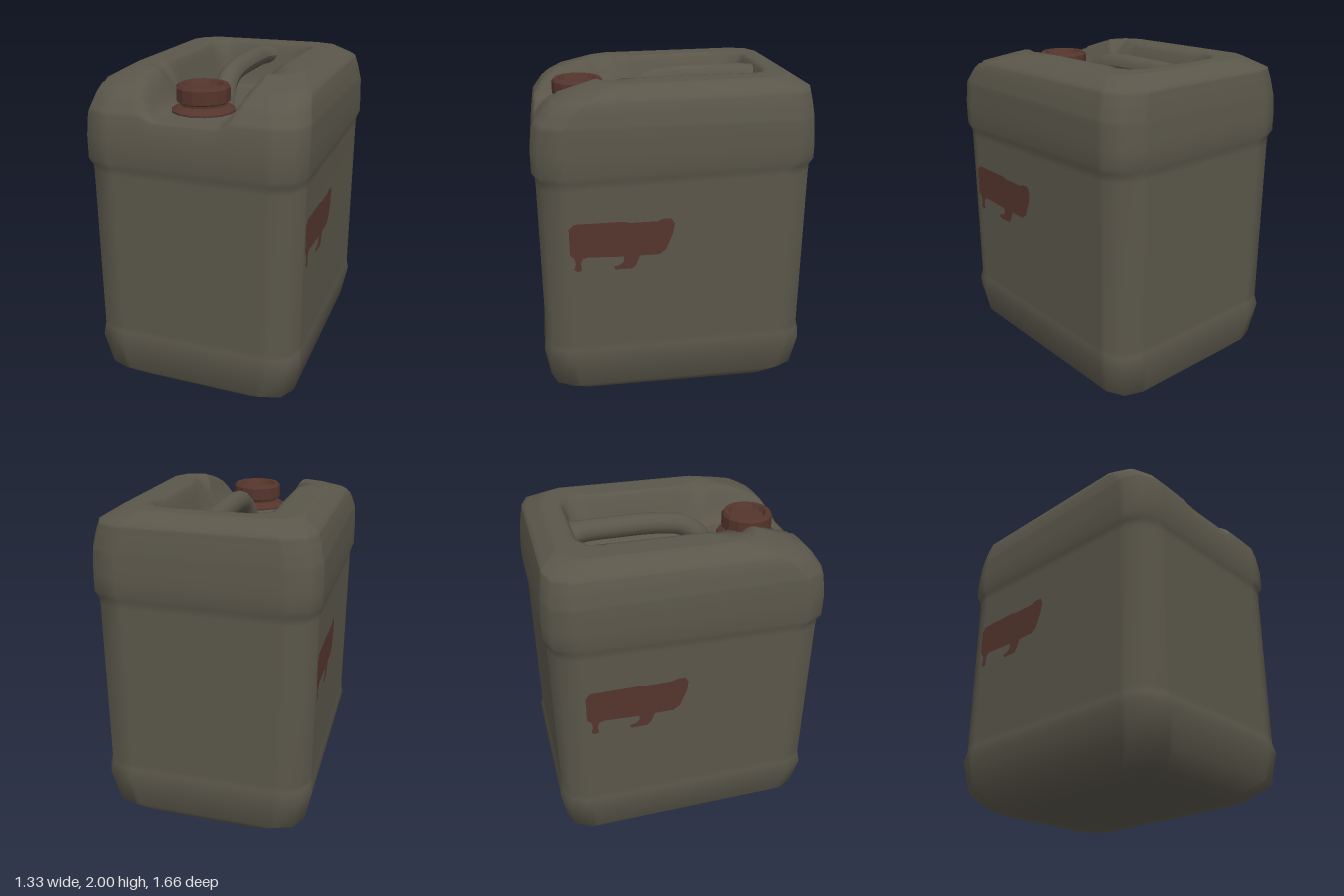
import * as THREE from 'three';

const lerp = THREE.MathUtils.lerp;
const smooth = THREE.MathUtils.smoothstep;

// Rounded-rectangle outline, running from +x towards +z, with subdivided sides
function outline(hx, hzBack, hzFront) {
  const c = Math.min(1, hx / 0.5);
  const corner = [[0, 0.14], [0.05, 0.04], [0.16, 0]];
  const keys = [];
  [[1, 1], [-1, 1], [-1, -1], [1, -1]].forEach(([sx, sz], k) => {
    const hz = sz > 0 ? hzFront : hzBack;
    const pts = corner.map(([a, b]) => [sx * (hx - a * c), sz * (hz - b * c)]);
    keys.push(...(k % 2 ? pts.reverse() : pts));
  });
  const out = [];
  keys.forEach((p, i) => {
    const q = keys[(i + 1) % keys.length];
    const n = i % 3 < 2 ? 1 : (i % 6 === 2 ? 28 : 32);
    for (let j = 0; j < n; j++) out.push([lerp(p[0], q[0], j / n), lerp(p[1], q[1], j / n)]);
  });
  return out;
}

// Height of the grip recess: deep below the handle, open towards the front
function recessHeight(x, z) {
  const floor = lerp(1.7, 1.775, smooth(z, 0.15, 0.42));
  const tx = Math.max(0, (Math.abs(x) - 0.19) / 0.24);
  const tz = Math.max(0, (-0.46 - z) / 0.18);
  const t = Math.min(1, Math.hypot(tx, tz));
  return floor + (2.15 - floor) * smooth(t, 0, 1) - 0.12 * Math.max(0, z - 0.6);
}

function softMin(a, b, k) {
  const h = Math.max(0, k - Math.abs(a - b)) / k;
  return Math.min(a, b) - h * h * k * 0.25;
}

function bodyGeometry() {
  // Profile rows: height, half width, back depth, front depth
  const rows = [
    [0.01, 0.002, 0.002, 0.002], [0.01, 0.4, 0.58, 0.58], [0.02, 0.51, 0.69, 0.69],
    [0.12, 0.615, 0.795, 0.795], [0.33, 0.655, 0.825, 0.825], [0.39, 0.645, 0.81, 0.81],
    [0.43, 0.645, 0.81, 0.81], [1.44, 0.645, 0.81, 0.81], [1.485, 0.648, 0.812, 0.812],
    [1.525, 0.665, 0.83, 0.83], [1.64, 0.664, 0.83, 0.83], [1.77, 0.66, 0.82, 0.81],
  ];
  const shoulder = [
    [1.77, 0.66, 0.82, 0.81], [1.86, 0.64, 0.808, 0.745],
    [1.935, 0.617, 0.795, 0.655], [2.0, 0.51, 0.69, 0.45],
  ];
  for (let i = 0; i < 3; i++) {
    for (let j = 1; j <= 4; j++) rows.push(shoulder[i].map((v, k) => lerp(v, shoulder[i + 1][k], j / 4)));
  }
  const N = 28;
  for (let i = 1; i <= N; i++) {
    const s = Math.max(0.002, 1 - i / N);
    rows.push([2.0, 0.51 * s, 0.12 + 0.57 * s, -0.12 + 0.57 * s]);
  }
  const pos = [], idx = [];
  let n = 0;
  rows.forEach(([y0, hx, back, front]) => {
    const ring = outline(hx, back, front);
    n = ring.length;
    for (const [x, z] of ring) {
      let y = y0;
      if (y0 < 0.1) y += 0.012 * z;
      else if (y0 > 1.4 && y0 < 1.6) y -= 0.025 * z;
      else if (y0 > 1.9) y -= 0.01 * (z + 0.69);
      if (y0 > 1.7) y = softMin(y, recessHeight(x, z), 0.05);
      pos.push(x, y, z);
    }
  });
  for (let i = 0; i < rows.length - 1; i++) {
    for (let j = 0; j < n; j++) {
      const a = i * n + j, b = i * n + (j + 1) % n;
      idx.push(a, a + n, b, b, a + n, b + n);
    }
  }
  const g = new THREE.BufferGeometry();
  g.setAttribute('position', new THREE.Float32BufferAttribute(pos, 3));
  g.setIndex(idx);
  g.computeVertexNormals();
  return g;
}

// Round bar that flares where it joins the body
function handleGeometry() {
  const curve = new THREE.CatmullRomCurve3([
    [-0.64, 1.91], [-0.5, 1.922], [-0.3, 1.925], [-0.05, 1.92], [0.1, 1.895], [0.2, 1.83], [0.29, 1.69],
  ].map(([z, y]) => new THREE.Vector3(0, y, z)));
  const steps = 40, sides = 12;
  const g = new THREE.TubeGeometry(curve, steps, 0.064, sides);
  const p = g.attributes.position, v = new THREE.Vector3();
  for (let i = 0; i < p.count; i++) {
    const u = Math.floor(i / (sides + 1)) / steps;
    const c = curve.getPointAt(u);
    v.fromBufferAttribute(p, i).sub(c);
    v.x *= 1 + 1.1 * Math.pow(1 - smooth(u, 0, 0.24), 2) + 0.35 * smooth(u, 0.75, 1);
    v.add(c);
    p.setXYZ(i, v.x, v.y, v.z);
  }
  g.computeVertexNormals();
  return g;
}

function capGeometry() {
  const profile = [
    [0.12, 1.69], [0.13, 1.77], [0.185, 1.78], [0.185, 1.79], [0.15, 1.812], [0.135, 1.817],
    [0.135, 1.83], [0.155, 1.84], [0.155, 1.915], [0.142, 1.932], [0.118, 1.932], [0.102, 1.905], [0, 1.905],
  ].map(([r, y]) => new THREE.Vector2(r, y));
  const g = new THREE.LatheGeometry(profile, 14).toNonIndexed();
  g.computeVertexNormals();
  return g;
}

// Paint patch with drips, as a flat plate facing +x
function patchGeometry() {
  const pts = [
    [0.64, 1.2], [0.61, 1.23], [0.33, 1.23], [0.29, 1.22], [0.13, 1.22], [0.1, 1.233], [0.05, 1.233],
    [0.03, 1.2], [0.04, 1.14], [0.08, 1.04], [0.12, 1.01], [0.235, 1.01], [0.26, 0.95], [0.28, 0.93],
    [0.38, 0.93], [0.39, 0.95], [0.35, 0.96], [0.33, 0.98], [0.33, 1.01], [0.54, 1.02], [0.57, 1.01],
    [0.58, 0.98], [0.575, 0.94], [0.6, 0.93], [0.62, 0.945], [0.61, 0.98], [0.615, 1.015], [0.64, 1.04],
  ].map(([z, y]) => new THREE.Vector2(-z, y));
  const g = new THREE.ShapeGeometry(new THREE.Shape(pts));
  g.rotateY(Math.PI / 2);
  g.translate(0.649, 0, 0);
  return g;
}

export function createModel() {
  const group = new THREE.Group();
  group.name = 'jerrycan';
  const olive = new THREE.MeshStandardMaterial({ color: 0x5a564a });
  olive.name = 'olive plastic';
  const red = new THREE.MeshStandardMaterial({ color: 0x54352c });
  red.name = 'rust red';
  const add = (name, geometry, material) => {
    const mesh = new THREE.Mesh(geometry, material);
    mesh.name = name;
    group.add(mesh);
    return mesh;
  };

  add('body', bodyGeometry(), olive);
  add('handle', handleGeometry(), olive);
  add('cap', capGeometry(), red).position.z = 0.53;

  // One patch on each side, turned half a revolution
  const patch = patchGeometry();
  add('leftPatch', patch, red);
  add('rightPatch', patch, red).rotation.y = Math.PI;
  return group;
}
